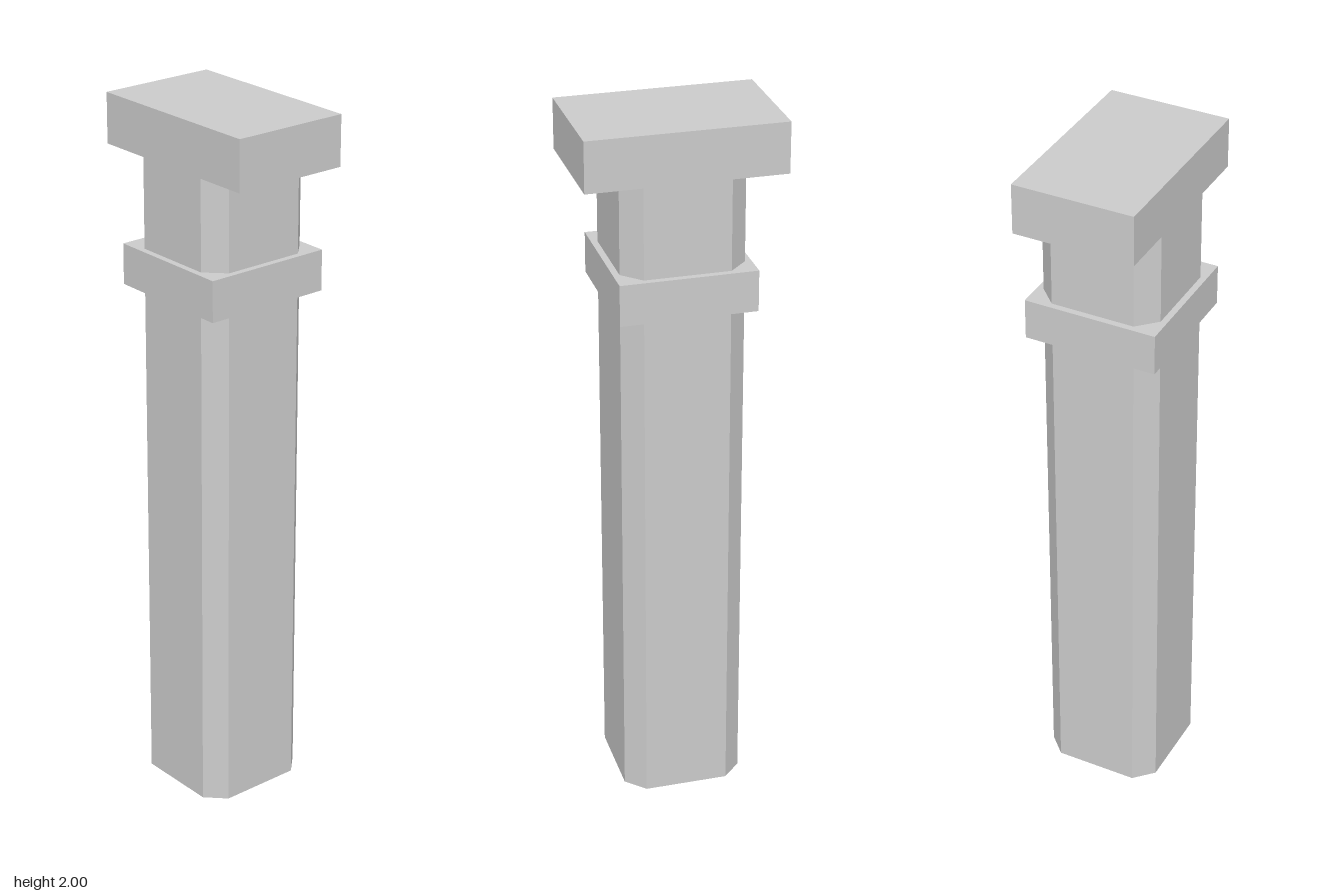
import * as THREE from 'three';

const HALF = 0.171;   // half width of the shaft
const FLAT = 0.119;   // half width of each flat face between the chamfers

export function createModel() {
  const model = new THREE.Group();
  model.name = 'column';
  const stone = new THREE.MeshStandardMaterial({ color: 0xcccccc });
  stone.name = 'pale grey stone';

  const add = (name, geometry, y) => {
    const mesh = new THREE.Mesh(geometry, stone);
    mesh.name = name;
    mesh.position.y = y;
    model.add(mesh);
  };
  const addBlock = (name, width, depth, bottom, top) =>
    add(name, new THREE.BoxGeometry(width, top - bottom, depth), (bottom + top) / 2);

  // Square shaft with chamfered corners, extruded upwards
  const outline = new THREE.Shape([
    [HALF, -FLAT], [HALF, FLAT], [FLAT, HALF], [-FLAT, HALF],
    [-HALF, FLAT], [-HALF, -FLAT], [-FLAT, -HALF], [FLAT, -HALF],
  ].map(([x, y]) => new THREE.Vector2(x, y)));
  const shaft = new THREE.ExtrudeGeometry(outline, { depth: 1.858, bevelEnabled: false });
  shaft.rotateX(-Math.PI / 2);
  add('shaft', shaft, 0);

  // Square collar around the shaft
  addBlock('collar', 0.378, 0.378, 1.487, 1.603);

  // Wide capital, flush with the shaft at front and back
  addBlock('capital', 0.548, HALF * 2, 1.858, 2);

  return model;
}
